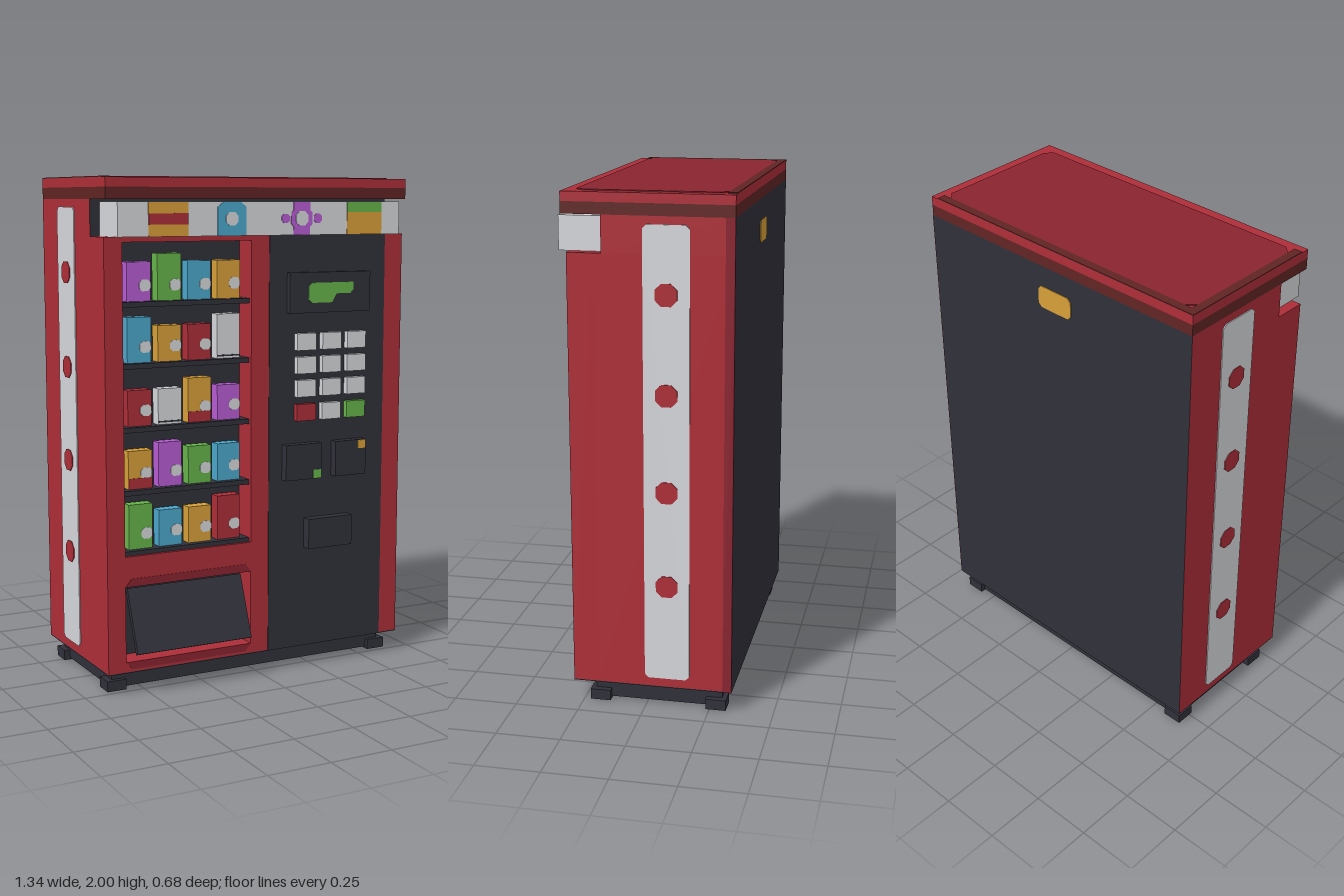
import * as THREE from 'three';

const mat = (name, color) => Object.assign(new THREE.MeshStandardMaterial({ color }), { name });

export function createModel() {
  const red = mat('red', 0xae2e38), darkRed = mat('dark red', 0x8a2430), maroon = mat('maroon', 0x612424);
  const dark = mat('charcoal', 0x30303a), white = mat('white', 0xd6d8dc), orange = mat('orange', 0xd8a038);
  const blue = mat('blue', 0x4ca8cc), purple = mat('purple', 0xb85cd4), green = mat('green', 0x66b44a);
  const black = mat('black', 0x1c1c20);

  const model = new THREE.Group();
  model.name = 'vendingMachine';

  const add = (name, geo, material, parent = model) => {
    const m = new THREE.Mesh(geo, material);
    m.name = name;
    parent.add(m);
    return m;
  };
  // Box given by its bounds
  const box = (name, material, x0, x1, y0, y1, z0, z1, parent) => {
    const m = add(name, new THREE.BoxGeometry(x1 - x0, y1 - y0, z1 - z0), material, parent);
    m.position.set((x0 + x1) / 2, (y0 + y1) / 2, (z0 + z1) / 2);
    return m;
  };
  const group = (name) => {
    const g = new THREE.Group();
    g.name = name;
    model.add(g);
    return g;
  };
  const poly = (pts) => new THREE.Shape(pts.map(([x, y]) => new THREE.Vector2(x, y)));
  const rect = (x0, x1, y0, y1) => poly([[x0, y0], [x1, y0], [x1, y1], [x0, y1]]);
  // Rectangle with cut corners
  const cutRect = (x0, x1, y0, y1, c) => poly([[x0 + c, y0], [x1 - c, y0], [x1, y0 + c], [x1, y1 - c],
    [x1 - c, y1], [x0 + c, y1], [x0, y1 - c], [x0, y0 + c]]);
  const extrude = (shape, depth) => new THREE.ExtrudeGeometry(shape, { depth, bevelEnabled: false });
  // Thin painted plate facing +z
  const plate = (name, material, shape, z, parent) => {
    const m = add(name, extrude(shape, 0.004), material, parent);
    m.position.z = z;
    return m;
  };
  const octagon = (x, y, r) => cutRect(x - r, x + r, y - r, y + r, r * 0.55);

  // Cabinet: core, stepped top and front frame with two openings
  const W = 0.665, F = 0.285, B = -0.34;
  box('cabinetCore', [red, red, red, dark, dark, dark], -W, W, 0.09, 1.775, B, 0.185);
  box('cabinetUpper', [red, red, red, red, dark, dark], -W, W, 1.775, 1.915, B, 0.155);
  const frame = rect(-W, W, 0.09, 1.775);
  frame.holes.push(rect(-0.59, -0.04, 0.55, 1.755), rect(-0.59, -0.04, 0.13, 0.43));
  add('frontFrame', extrude(frame, 0.1), red).position.z = 0.185;
  box('underside', dark, -W, W, 0.086, 0.09, B, F);
  plate('trayLintel', darkRed, poly([[-0.59, 0.43], [-0.04, 0.43], [-0.065, 0.462], [-0.565, 0.462]]), F - 0.002);
  plate('traySill', darkRed, poly([[-0.565, 0.1], [-0.065, 0.1], [-0.04, 0.13], [-0.59, 0.13]]), F - 0.002);

  // Roof cap
  box('capLower', maroon, -W, W, 1.915, 1.96, B, 0.305);
  box('capUpper', red, -W, W, 1.96, 1.996, B, 0.305);
  const roof = add('roofPanel', extrude(cutRect(-0.63, 0.622, -0.26, 0.305, 0.03), 0.004), darkRed);
  roof.rotation.x = -Math.PI / 2;
  roof.position.y = 1.996;
  box('roofEdgeSide', maroon, -W, -0.63, 1.996, 2, B, 0.27);
  box('roofEdgeBack', maroon, -0.63, 0.63, 1.996, 2, B, -0.305);

  // Side stripes with dots
  for (const s of [1, -1]) {
    const side = group(s > 0 ? 'leftStripe' : 'rightStripe');
    // Built facing +z, then turned to face sideways
    const c = s > 0 ? 0.0875 : -0.0875;
    plate('stripe', white, cutRect(c - 0.0875, c + 0.0875, 0.125, 1.885, 0.015), W, side);
    for (let i = 0; i < 4; i++) plate('stripeDot', red, octagon(c, 0.505 + i * 0.375, 0.042), W + 0.003, side);
    side.rotation.y = s * Math.PI / 2;
  }
  box('rearEdgeStrip', darkRed, W, W + 0.003, 0.09, 1.915, B, -0.305);

  // Back plate
  const tag = plate('rearTag', orange, cutRect(-0.083, 0.083, 1.74, 1.83, 0.015), 0);
  tag.rotation.y = Math.PI;
  tag.position.z = B + 0.001;

  // Plinth and feet
  box('plinth', [dark, dark, dark, black, dark, dark], -0.62, 0.62, 0.008, 0.087, -0.297, 0.207);
  for (const x of [-0.605, 0.605]) for (const z of [-0.275, 0.185]) {
    box('foot', dark, x - 0.04, x + 0.04, 0, 0.042, z - 0.04, z + 0.04);
  }

  // Header sign with painted emblems
  const sign = group('headerSign'), H = 0.324, y0 = 1.776, y1 = 1.904;
  box('signBox', white, -0.625, 0.622, 1.775, 1.905, 0.155, 0.325, sign);
  plate('orangeBlock', orange, rect(-0.5, -0.335, y0, y1), H, sign);
  plate('redBand', red, rect(-0.5, -0.335, 1.82, 1.862), H + 0.002, sign);
  plate('blueBlock', blue, poly([[-0.21, y0], [-0.085, y0], [-0.085, 1.885], [-0.11, y1], [-0.185, y1], [-0.21, 1.885]]), H, sign);
  plate('blueDot', white, octagon(-0.148, 1.84, 0.026), H + 0.002, sign);
  plate('flowerTop', purple, rect(0.125, 0.2, 1.868, y1), H, sign);
  plate('flowerBottom', purple, rect(0.125, 0.2, y0, 1.81), H, sign);
  plate('flowerRing', purple, octagon(0.163, 1.84, 0.048), H, sign);
  plate('flowerCentre', white, octagon(0.163, 1.84, 0.028), H + 0.002, sign);
  for (const x of [0.09, 0.236]) plate('flowerPetal', purple, octagon(x, 1.84, 0.018), H, sign);
  plate('lowerBlock', orange, rect(0.372, 0.535, y0, 1.863), H, sign);
  plate('upperBlock', green, rect(0.372, 0.535, 1.863, y1), H, sign);

  // Shelves stocked with packets: [colour, height] from left to right
  const rows = [
    [1.53, [purple, 0.15], [green, 0.18], [blue, 0.15], [orange, 0.15]],
    [1.295, [blue, 0.175], [orange, 0.14], [red, 0.14], [white, 0.175]],
    [1.05, [red, 0.14], [white, 0.14], [orange, 0.175], [purple, 0.14]],
    [0.805, [orange, 0.15], [purple, 0.175], [green, 0.15], [blue, 0.15]],
    [0.567, [green, 0.177], [blue, 0.145], [orange, 0.145], [red, 0.177]],
  ];
  const stock = group('stock');
  rows.forEach(([y, ...items], r) => {
    box('shelf', dark, -0.588, -0.042, y - 0.02, y, 0.185, 0.272, stock);
    items.forEach(([colour, h], i) => {
      const x = -0.556 + i * 0.1285;
      box('packet', colour, x, x + 0.1, y, y + h, 0.195, 0.245, stock);
      if (colour === white) {
        box('packetBase', dark, x, x + 0.1, y + 0.008, y + 0.014, 0.245, 0.248, stock);
      } else {
        plate('packetLabel', white, cutRect(x + 0.052, x + 0.1, y + 0.038, y + 0.082, 0.012), 0.243, stock);
      }
      if (colour === orange && (r === 2 || r === 3)) {
        box('packetBand', red, x, x + 0.1, y, y + 0.042, 0.245, 0.248, stock);
      }
    });
  });

  // Delivery flap, hinged at the top and tilted outwards
  const flap = add('deliveryFlap', new THREE.BoxGeometry(0.5, 0.26, 0.02), dark);
  flap.position.set(-0.315, 0.29, 0.283);
  flap.rotation.x = -0.38;

  // Control panel
  const panel = group('controlPanel');
  box('panelFace', dark, 0.04, 0.58, 0.09, 1.775, F - 0.004, F + 0.003, panel);
  box('display', dark, 0.12, 0.497, 1.465, 1.627, F, 0.31, panel);
  plate('displayReadout', green, poly([[0.205, 1.52], [0.22, 1.505], [0.315, 1.505], [0.335, 1.54], [0.4, 1.54],
    [0.415, 1.555], [0.415, 1.585], [0.22, 1.585], [0.205, 1.57]]), 0.309, panel);
  [1.35, 1.256, 1.162, 1.065].forEach((y, r) => [0.2, 0.317, 0.434].forEach((x, c) => {
    const colour = r < 3 || c === 1 ? white : c === 0 ? red : green;
    box('keypadButton', colour, x - 0.044, x + 0.044, y - 0.034, y + 0.034, F, 0.312, panel);
  }));
  box('noteSlot', dark, 0.1, 0.265, 0.793, 0.938, F, 0.324, panel);
  box('noteLight', green, 0.225, 0.263, 0.795, 0.83, 0.322, 0.327, panel);
  box('coinSlot', dark, 0.332, 0.477, 0.793, 0.938, F, 0.324, panel);
  box('coinLight', orange, 0.437, 0.475, 0.902, 0.936, 0.322, 0.327, panel);
  box('changeCup', dark, 0.205, 0.41, 0.503, 0.627, F, 0.329, panel);

  return model;
}
